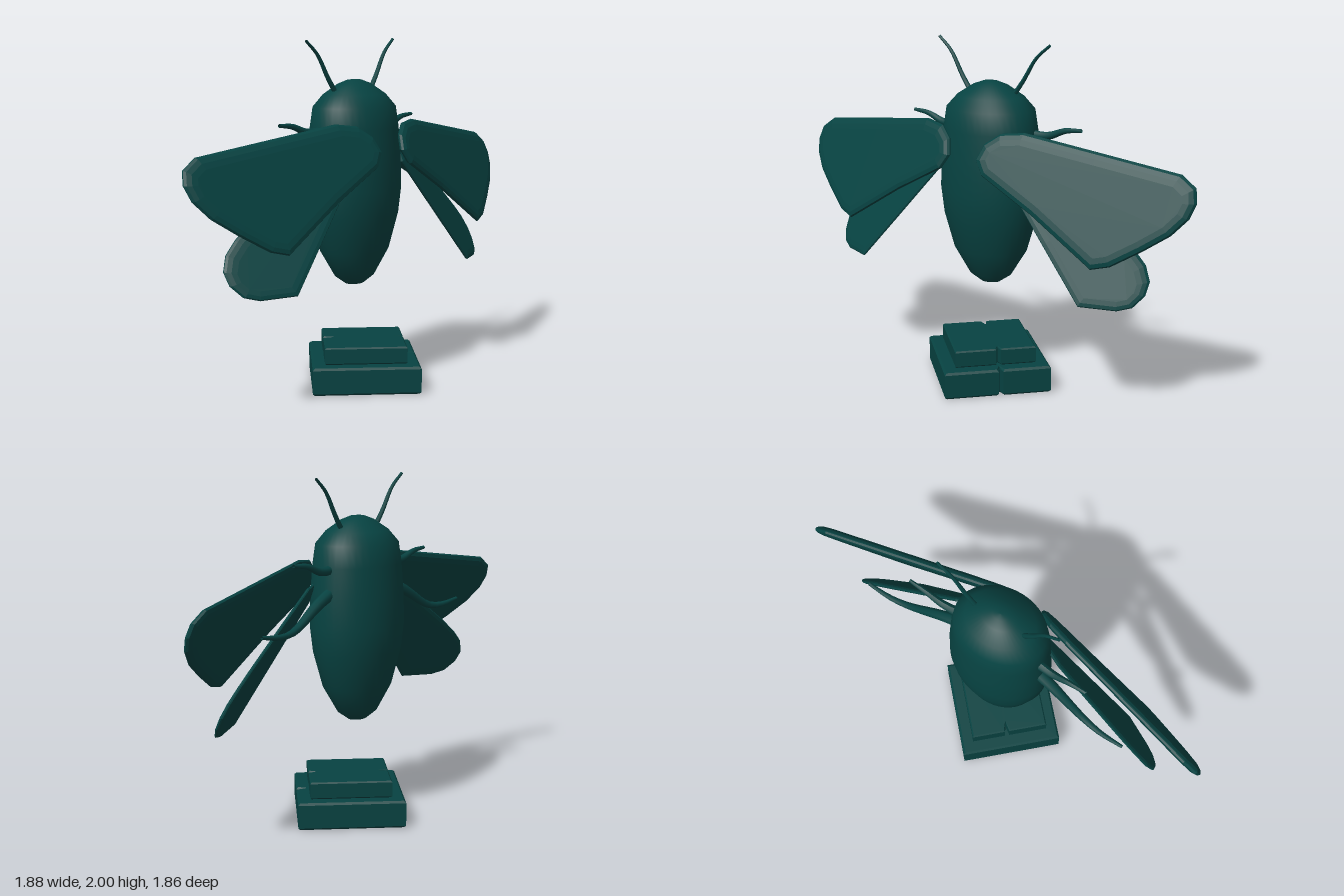
import * as THREE from 'three';

const teal = new THREE.MeshStandardMaterial({ color: 0x074342, side: THREE.DoubleSide });
teal.name = 'dark teal';

function add(parent, geometry, name) {
  const mesh = new THREE.Mesh(geometry, teal);
  mesh.name = name;
  parent.add(mesh);
  return mesh;
}

// Bevelled wing with a raised upper face, sheared so its depth follows a tilted plane;
// the wing pair is rolled slightly, one side hanging lower
function wingGeometry(outline, side, plane, thickness, rim) {
  const shape = new THREE.Shape(outline.map(([u, y]) => new THREE.Vector2(side * u, y - 0.015 * side * u)));
  const geo = new THREE.ExtrudeGeometry(shape, {
    depth: 0.006, bevelEnabled: true, bevelThickness: thickness, bevelSize: rim,
    bevelOffset: -rim, bevelSegments: 3,
  });
  const p = geo.attributes.position;
  const [u0, y0, n0, a, b] = plane;
  for (let i = 0; i < p.count; i++) {
    const lift = n0 + a * (side * p.getX(i) - u0) + b * (p.getY(i) - y0);
    p.setZ(i, p.getZ(i) + 0.7 * thickness + lift);
  }
  geo.computeVertexNormals();
  return geo;
}

// Tapered tube along a smooth path, for feelers and legs
function limbGeometry(points, side, r0, r1) {
  const curve = new THREE.CatmullRomCurve3(points.map(([u, y, n]) => new THREE.Vector3(side * u, y, n)));
  const rings = 14, sides = 8;
  const geo = new THREE.TubeGeometry(curve, rings, r0, sides);
  const p = geo.attributes.position;
  const v = new THREE.Vector3();
  for (let i = 0; i < p.count; i++) {
    const t = Math.floor(i / (sides + 1)) / rings;
    const c = curve.getPointAt(t);
    const k = 1 + (r1 / r0 - 1) * t;
    v.fromBufferAttribute(p, i).sub(c).multiplyScalar(k).add(c);
    p.setXYZ(i, v.x, v.y, v.z);
  }
  geo.computeVertexNormals();
  return geo;
}

// Square stone slab with V-shaped cracks on chosen sides
function slabGeometry(h, height, bevel, crackRight, crackLeft) {
  const w = 0.014, c = 0.016;
  const pts = [[-h, -h], [h, -h], [h, c - w], [h - crackRight, c], [h, c + w], [h, h], [-h, h]];
  if (crackLeft) pts.push([-h, c + w], [-h + crackLeft, c], [-h, c - w]);
  const shape = new THREE.Shape(pts.map(([x, y]) => new THREE.Vector2(x, y)));
  const geo = new THREE.ExtrudeGeometry(shape, {
    depth: height - 2 * bevel, bevelEnabled: true, bevelThickness: bevel,
    bevelSize: bevel, bevelOffset: -bevel, bevelSegments: 1,
  });
  geo.translate(0, 0, bevel);
  geo.rotateX(-Math.PI / 2);
  return geo;
}

export function createModel() {
  const model = new THREE.Group();
  model.name = 'mothOnPlinth';

  // Two-step plinth
  const plinth = new THREE.Group();
  plinth.name = 'plinth';
  plinth.position.set(0.054, 0, 0.017);
  model.add(plinth);
  add(plinth, slabGeometry(0.31, 0.16, 0.012, 0.05, 0), 'lowerSlab');
  add(plinth, slabGeometry(0.237, 0.1, 0.008, 0.04, 0.06), 'upperSlab').position.y = 0.16;

  // Moth turned diagonally: local x is sideways, local z points out of its back
  const moth = new THREE.Group();
  moth.name = 'moth';
  moth.rotation.y = Math.PI / 4;
  moth.position.set(0.003, 0, -0.006);
  model.add(moth);

  // Body: a flattened lathe
  const profile = [
    [0, 0.578], [0.055, 0.588], [0.115, 0.635], [0.2, 0.79], [0.255, 1.0], [0.272, 1.15],
    [0.268, 1.33], [0.255, 1.5], [0.238, 1.62], [0.18, 1.69], [0.095, 1.75], [0.04, 1.772], [0, 1.775],
  ].map(([r, y]) => new THREE.Vector2(r, y));
  const body = add(moth, new THREE.LatheGeometry(profile, 40), 'body');
  body.scale.set(1.13, 1, 0.9);

  const foreOutline = [
    [0.14, 1.3], [0.45, 1.13], [0.83, 0.89], [0.93, 0.915], [1.08, 1.01], [1.205, 1.1], [1.28, 1.19],
    [1.303, 1.27], [1.285, 1.345], [1.2, 1.405], [0.75, 1.475], [0.33, 1.54], [0.2, 1.525],
    [0.12, 1.465], [0.09, 1.38],
  ];
  const hindOutline = [
    [0.2, 1.3], [0.5, 0.95], [0.75, 0.66], [0.94, 0.65], [1.01, 0.67], [1.055, 0.73], [1.06, 0.8],
    [1.02, 0.88], [0.95, 0.95], [0.84, 1.04], [0.58, 1.23], [0.35, 1.39], [0.24, 1.41],
  ];
  for (const side of [1, -1]) {
    const label = side > 0 ? 'left' : 'right';
    // Wings
    add(moth, wingGeometry(foreOutline, side, [0.32, 1.535, 0.134, -0.255, -0.391], 0.026, 0.06), label + 'ForeWing');
    add(moth, wingGeometry(hindOutline, side, [1.05, 0.77, 0.035, -0.5, -0.55], 0.018, 0.05), label + 'HindWing');
    // Feelers
    add(moth, limbGeometry([[0.14, 1.69, -0.01], [0.21, 1.79, -0.015], [0.29, 1.92, -0.02], [0.375, 1.996, -0.025]],
      side, 0.015, 0.008), label + 'Antenna');
    // Legs
    add(moth, limbGeometry([[0.2, 1.49, -0.02], [0.36, 1.49, -0.035], [0.47, 1.53, -0.04], [0.575, 1.542, -0.04]],
      side, 0.032, 0.01), label + 'FrontLeg');
    add(moth, limbGeometry([[0.2, 1.38, -0.02], [0.38, 1.31, -0.04], [0.6, 1.19, -0.06], [0.72, 1.18, -0.075], [0.865, 1.2, -0.08]],
      side, 0.04, 0.01), label + 'MiddleLeg');
  }
  return model;
}
